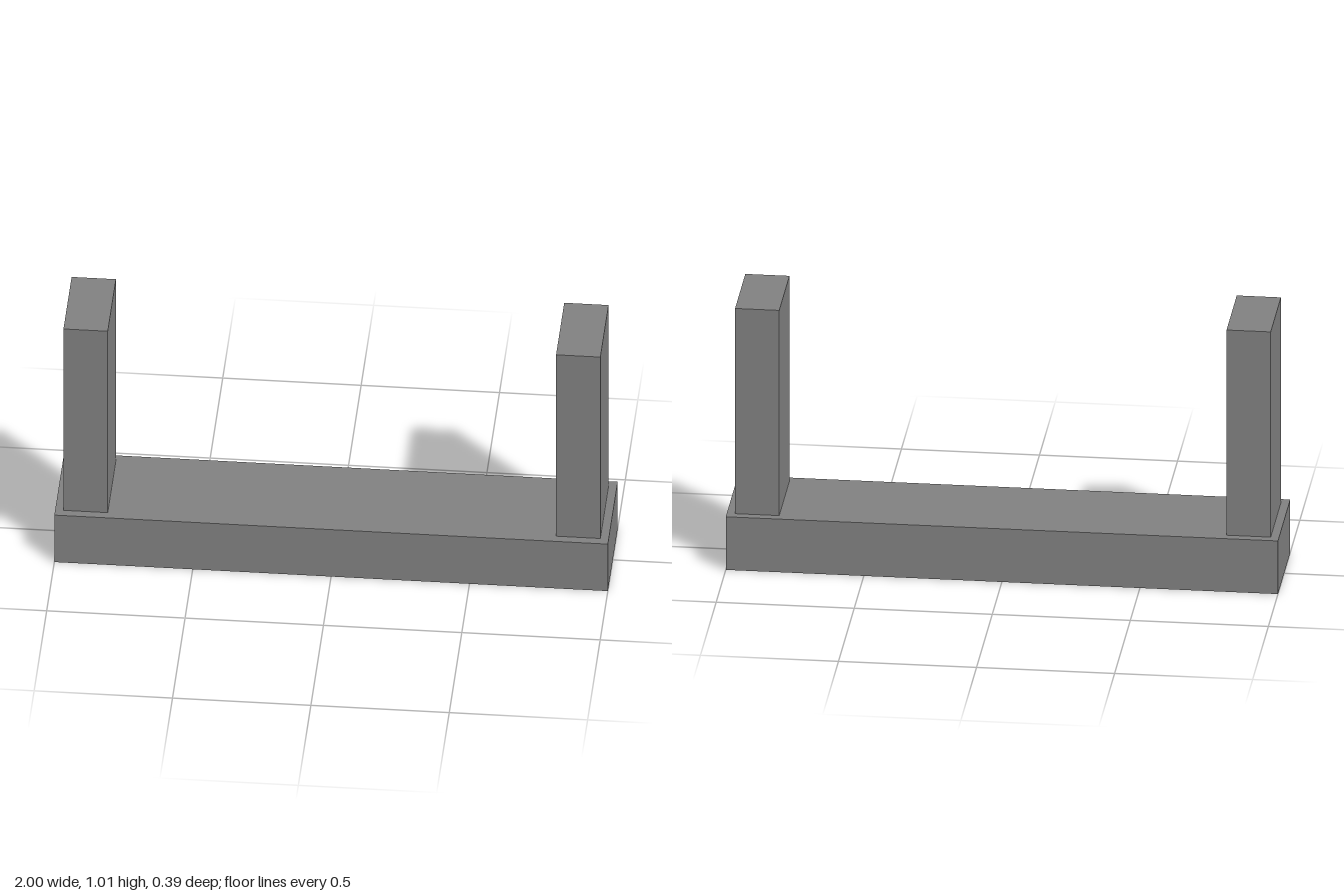
import * as THREE from 'three';

export function createModel() {
  const model = new THREE.Group();
  model.name = 'twoPostStand';

  const grey = new THREE.MeshStandardMaterial({ color: 0x808080 });
  grey.name = 'grey';

  // Box standing with its underside at height y
  function addBlock(name, w, h, d, x, y) {
    const block = new THREE.Mesh(new THREE.BoxGeometry(w, h, d), grey);
    block.name = name;
    block.position.set(x, y + h / 2, 0);
    model.add(block);
  }

  // Long base beam
  const baseHeight = 0.207;
  addBlock('base', 2, baseHeight, 0.39, 0, 0);

  // Upright post at each end
  for (const side of [1, -1]) {
    addBlock(side > 0 ? 'leftPost' : 'rightPost', 0.16, 0.8, 0.325, side * 0.89, baseHeight);
  }

  return model;
}
